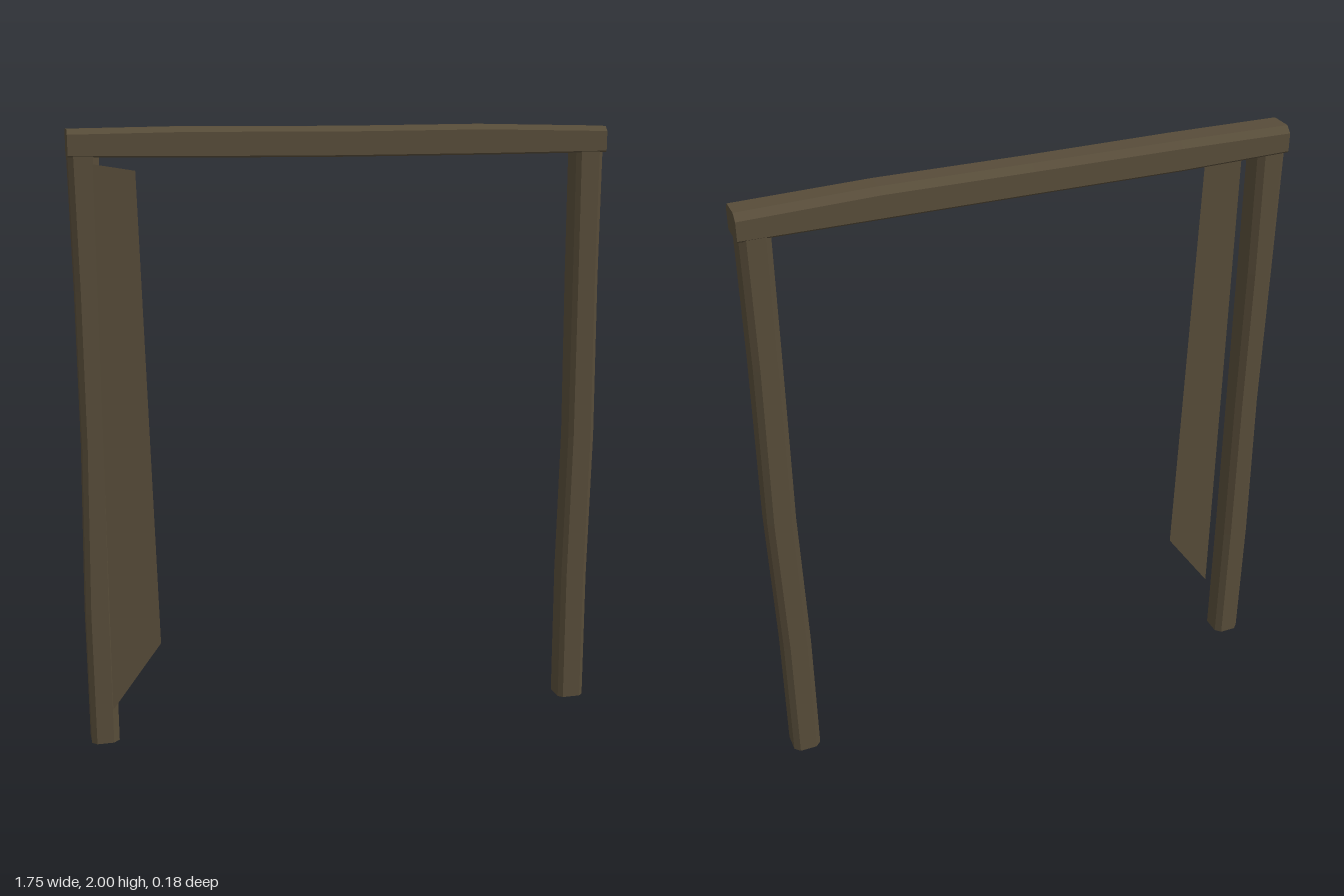
import * as THREE from 'three';

const wood = new THREE.MeshStandardMaterial({ color: 0x574c39 });
wood.name = 'weathered wood';
const woodSheet = new THREE.MeshStandardMaterial({ color: 0x574c39, side: THREE.DoubleSide });
woodSheet.name = 'weathered wood board';

// Eight-sided outline of a box with cut corners; cuts [low-low, high-low, high-high, low-high]
function outline(a0, a1, b0, b1, [p, q, r, s]) {
  return [[a0 + p, b0], [a1 - q, b0], [a1, b0 + q], [a1, b1 - r],
    [a1 - r, b1], [a0 + s, b1], [a0, b1 - s], [a0, b0 + p]];
}

// Flat-faced timber lofted through stations [along, a0, a1, b0, b1]
function timber(name, stations, cuts, toPoint) {
  const rings = stations.map(([c, a0, a1, b0, b1]) =>
    outline(a0, a1, b0, b1, cuts).map(([a, b]) => toPoint(a, b, c)));
  const pos = [];
  const tri = (...pts) => pts.forEach(p => pos.push(...p));
  for (let i = 0; i < rings.length - 1; i++) {
    const lo = rings[i], hi = rings[i + 1];
    for (let j = 0; j < 8; j++) {
      const k = (j + 1) % 8;
      tri(lo[j], lo[k], hi[k]);
      tri(lo[j], hi[k], hi[j]);
    }
  }
  const first = rings[0], last = rings[rings.length - 1];
  for (let j = 1; j < 7; j++) {
    tri(first[0], first[j + 1], first[j]);
    tri(last[0], last[j], last[j + 1]);
  }
  const g = new THREE.BufferGeometry();
  g.setAttribute('position', new THREE.Float32BufferAttribute(pos, 3));
  g.computeVertexNormals();
  const mesh = new THREE.Mesh(g, wood);
  mesh.name = name;
  return mesh;
}

export function createModel() {
  const group = new THREE.Group();
  group.name = 'doorFrame';

  // Posts: a = z, b = x, along y
  const upright = (a, b, c) => [b, c, a];
  group.add(timber('rightPost', [
    [0, -0.077, 0.021, -0.873, -0.782],
    [0.45, -0.077, 0.022, -0.876, -0.784],
    [1.0, -0.08, 0.018, -0.866, -0.78],
    [1.5, -0.085, 0.02, -0.868, -0.78],
    [1.93, -0.08, 0.022, -0.875, -0.78],
  ], [0.018, 0.016, 0.02, 0.018], upright));
  group.add(timber('leftPost', [
    [0, -0.077, 0.021, 0.77, 0.862],
    [0.45, -0.077, 0.022, 0.768, 0.86],
    [0.95, -0.08, 0.018, 0.778, 0.87],
    [1.5, -0.085, 0.02, 0.774, 0.863],
    [1.93, -0.08, 0.022, 0.77, 0.863],
  ], [0.018, 0.014, 0.016, 0.018], upright));

  // Lintel: a = y, b = z, along x
  group.add(timber('lintel', [
    [-0.875, 1.908, 1.992, -0.087, 0.024],
    [-0.5, 1.904, 1.998, -0.088, 0.02],
    [-0.02, 1.902, 1.996, -0.077, 0.024],
    [0.45, 1.904, 2.0, -0.077, 0.024],
    [0.87, 1.908, 1.992, -0.082, 0.024],
  ], [0.006, 0.02, 0.016, 0.005], (a, b, c) => [c, a, b]));

  // Remaining splintered board of the broken door
  const board = new THREE.BufferGeometry();
  board.setAttribute('position', new THREE.Float32BufferAttribute([
    -0.805, 0.14, 0.076, -0.645, 0.36, 0.088, -0.68, 1.87, 0.084, -0.805, 1.89, 0.071,
  ], 3));
  board.setIndex([0, 1, 2, 0, 2, 3]);
  const flat = board.toNonIndexed();
  flat.computeVertexNormals();
  const mesh = new THREE.Mesh(flat, woodSheet);
  mesh.name = 'brokenDoorBoard';
  group.add(mesh);

  return group;
}
